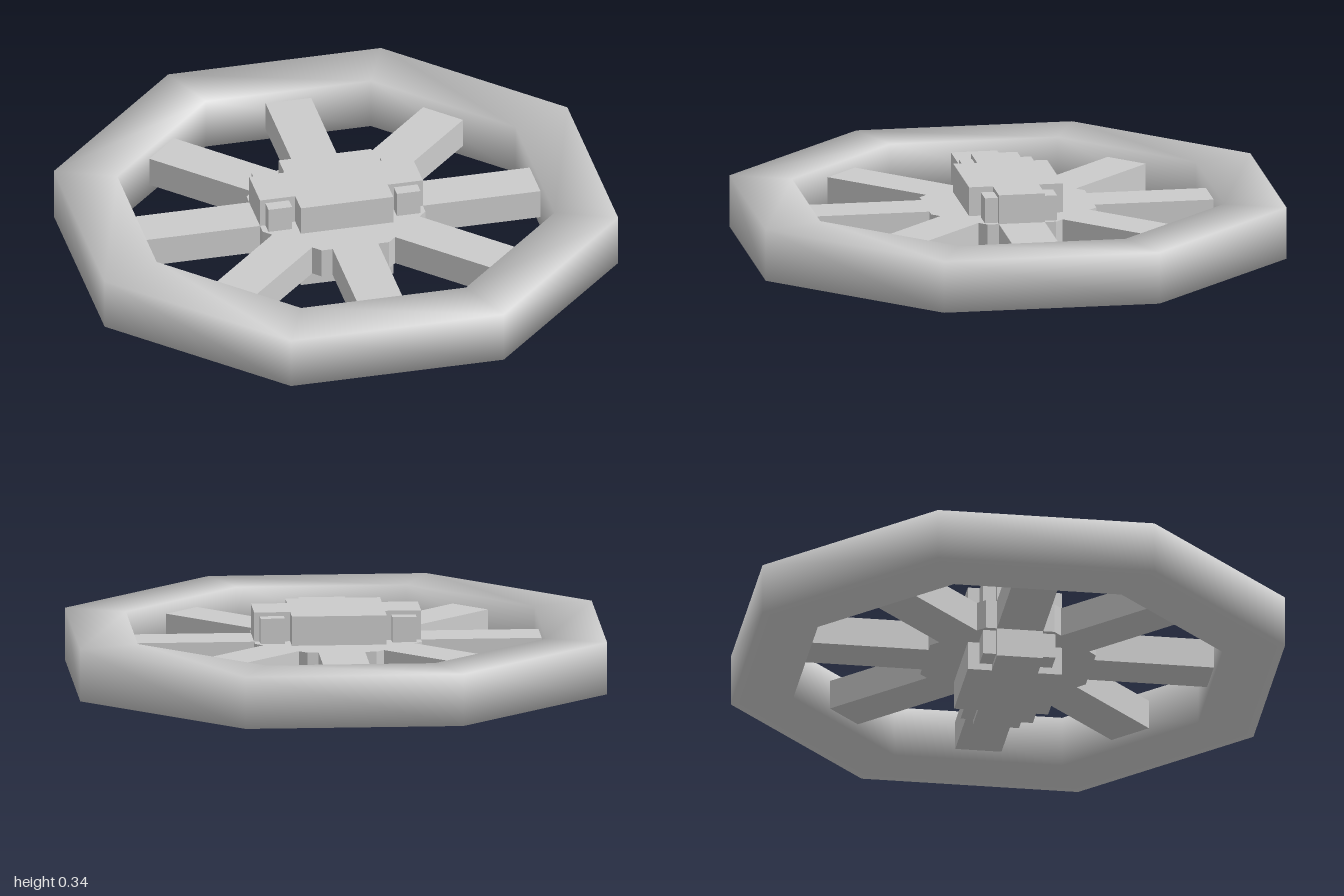
import * as THREE from 'three';
import { mergeVertices } from 'three/addons/utils/BufferGeometryUtils.js';

const MID = 0.17;            // height of the wheel's middle plane
const HUB = 0.317;           // hub centre to flat
const INNER = 0.775;         // inner rim, centre to flat
const SPOKE_W = 0.177, SPOKE_H = 0.115;
const toCorner = (flat) => flat / Math.cos(Math.PI / 8);

export function createModel() {
  const group = new THREE.Group();
  const smooth = new THREE.MeshStandardMaterial({ color: 0xcccccc });
  const flat = new THREE.MeshStandardMaterial({ color: 0xcccccc, flatShading: true });

  const add = (name, geometry, material, x = 0, z = 0, parent = group) => {
    const mesh = new THREE.Mesh(geometry, material);
    mesh.name = name;
    mesh.position.set(x, MID, z);
    parent.add(mesh);
    return mesh;
  };

  // Eight-sided rim: rectangular section, normals blended across its edges
  const ro = toCorner(1), ri = toCorner(INNER), h = 0.1;
  const section = [[ro, -h], [ro, h], [ri, h], [ri, -h], [ro, -h]]
    .map(([r, y]) => new THREE.Vector2(r, y));
  let rim = new THREE.LatheGeometry(section, 8, Math.PI / 8);
  rim.deleteAttribute('normal');
  rim.deleteAttribute('uv');
  rim = mergeVertices(rim, 1e-4);
  rim.computeVertexNormals();
  add('rim', rim, smooth);

  // Eight-sided hub plate
  const plate = new THREE.CylinderGeometry(toCorner(HUB), toCorner(HUB), SPOKE_H, 8);
  plate.rotateY(Math.PI / 8);
  add('hubPlate', plate, flat);

  // Spokes from the hub plate to the rim
  const spokes = new THREE.Group();
  spokes.name = 'spokes';
  group.add(spokes);
  const start = HUB - 0.03;
  const spoke = new THREE.BoxGeometry(INNER - start, SPOKE_H, SPOKE_W);
  spoke.translate((INNER + start) / 2, 0, 0);
  for (let i = 0; i < 8; i++) {
    add('spoke', spoke, flat, 0, 0, spokes).rotation.y = i * Math.PI / 4;
  }

  // Central block passing through the hub, with an arm on each side
  add('hubBlock', new THREE.BoxGeometry(0.36, 0.34, 0.36), flat);
  const arm = new THREE.BoxGeometry(HUB - 0.18, 0.34, SPOKE_W);
  const lug = new THREE.BoxGeometry(0.092, 0.31, 0.05);
  for (const sx of [-1, 1]) {
    add('hubArm', arm, flat, sx * (HUB + 0.18) / 2);
    // Small lugs on both faces of the arm
    for (const sz of [-1, 1]) add('hubLug', lug, flat, sx * 0.25, sz * (SPOKE_W / 2 + 0.025));
  }
  return group;
}
